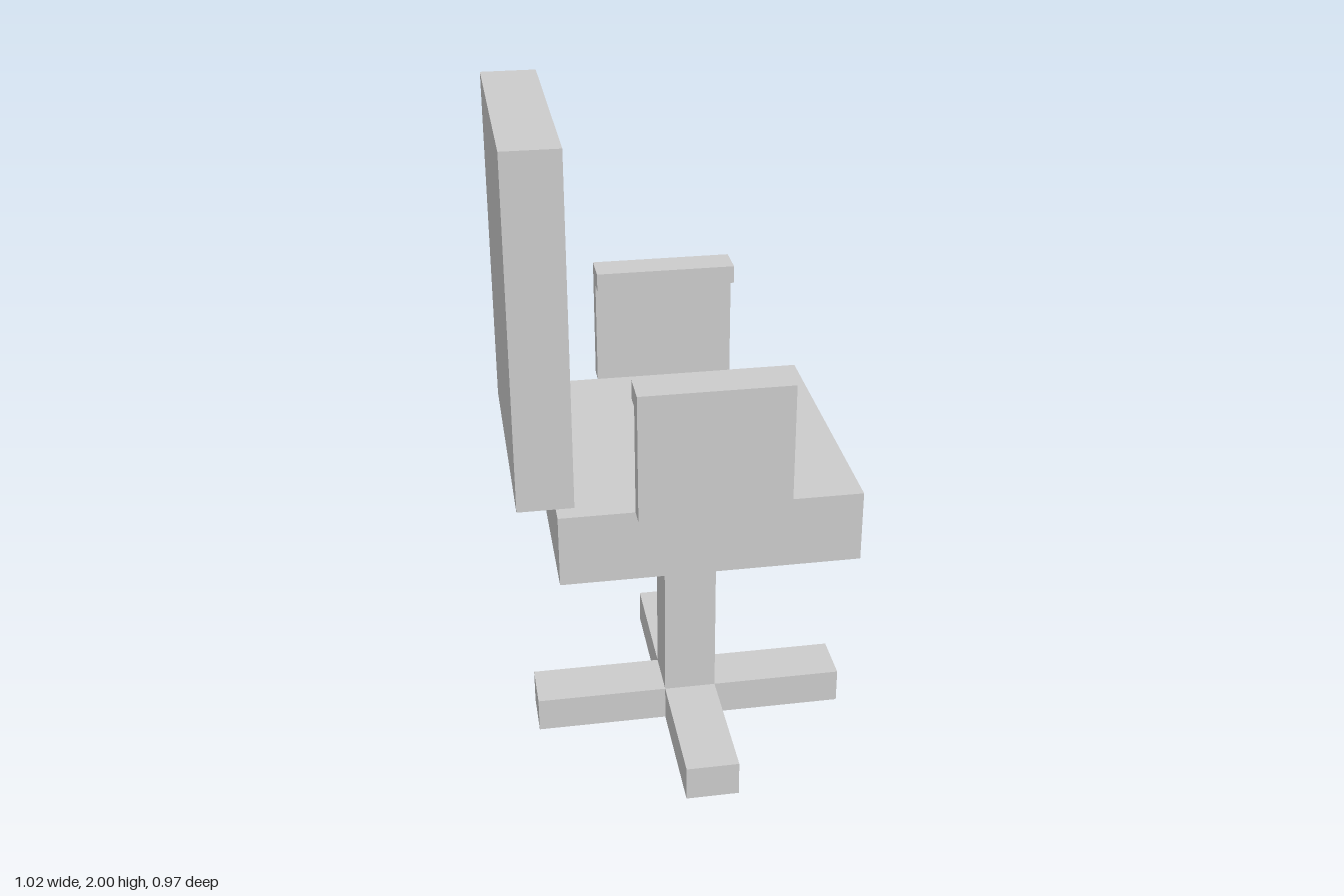
import * as THREE from 'three';

const material = new THREE.MeshStandardMaterial({ color: 0xcccccc, flatShading: true, side: THREE.DoubleSide });
const SIDES = ['+x', '-x', '+y', '-y', '+z', '-z']; // face order of BoxGeometry

// Box spanning the given ranges, with the listed sides left open
function openBox(name, [x0, x1], [y0, y1], [z0, z1], open = ['-y']) {
  const geometry = new THREE.BoxGeometry(x1 - x0, y1 - y0, z1 - z0);
  const index = Array.from(geometry.index.array);
  geometry.setIndex(index.filter((_, i) => !open.includes(SIDES[Math.floor(i / 6)])));
  geometry.clearGroups();
  geometry.translate((x0 + x1) / 2, (y0 + y1) / 2, (z0 + z1) / 2);
  const mesh = new THREE.Mesh(geometry, material);
  mesh.name = name;
  return mesh;
}

// Armrest: upright panel with a lip that overhangs the seat
function createArmrest(name, side) {
  const arm = new THREE.Group();
  arm.name = name;
  const length = [-0.19, 0.24];
  arm.add(openBox('armPanel', length, [0.976, 1.355], [0.43, 0.485]));
  arm.add(openBox('armLip', length, [1.3, 1.355], [0.38, 0.43], ['+z']));
  arm.scale.z = side;
  return arm;
}

// Four-legged cross, hollow underneath
function createBase() {
  const base = new THREE.Group();
  base.name = 'crossBase';
  for (let i = 0; i < 4; i++) {
    const leg = openBox('baseLeg', [0.08, 0.485], [0, 0.11], [-0.08, 0.08], ['-x', '-y']);
    leg.rotation.y = (i * Math.PI) / 2;
    base.add(leg);
  }
  base.position.x = 0.025;
  return base;
}

export function createModel() {
  const chair = new THREE.Group();
  chair.name = 'chair';
  chair.add(
    createBase(),
    openBox('column', [-0.055, 0.105], [0, 0.762], [-0.08, 0.08]),
    openBox('seat', [-0.405, 0.457], [0.762, 0.976], [-0.431, 0.431]),
    openBox('backrest', [-0.513, -0.353], [0.976, 2], [-0.379, 0.379]),
    createArmrest('armrestFront', 1),
    createArmrest('armrestBack', -1),
  );
  return chair;
}
